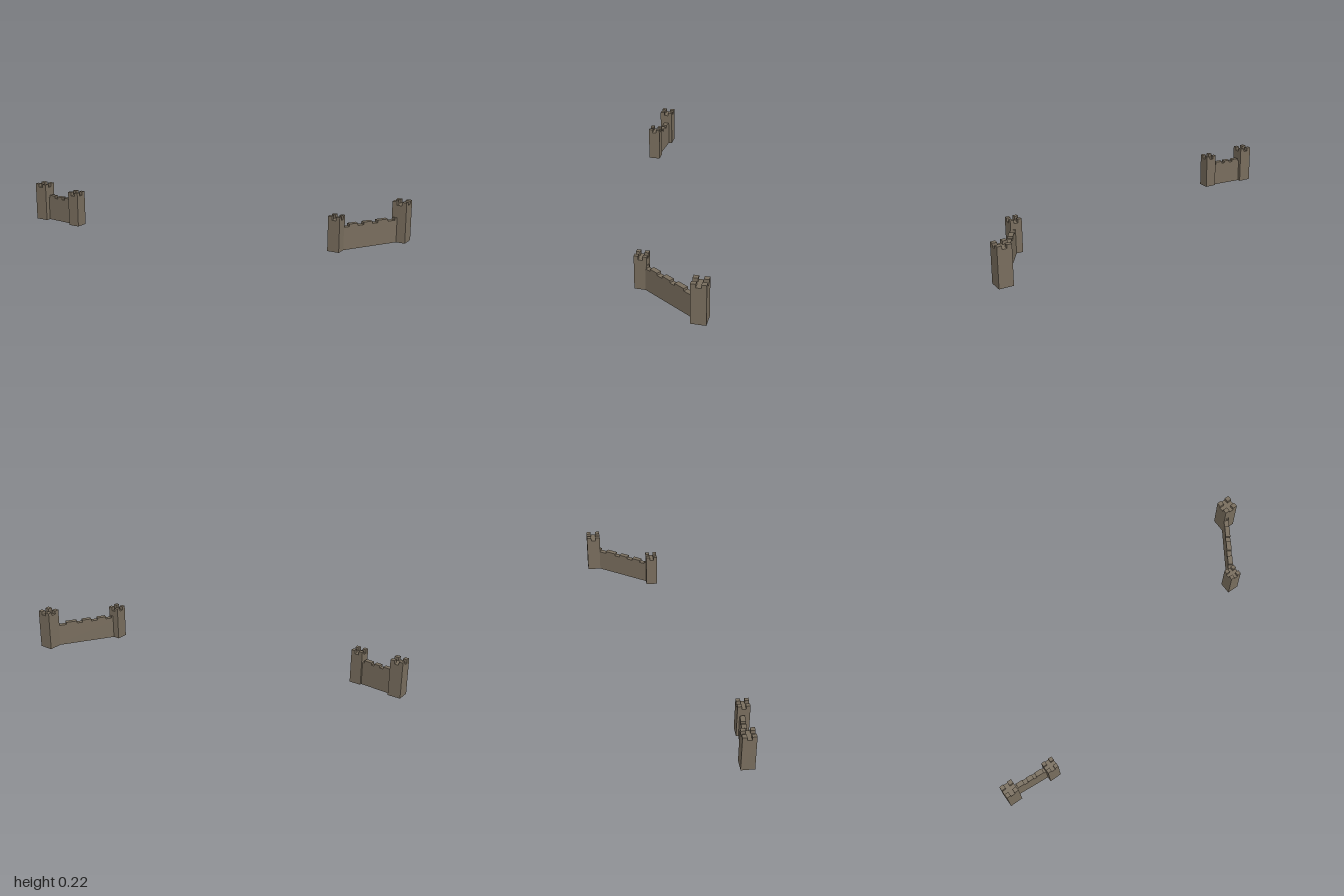
import * as THREE from 'three';

const stone = new THREE.MeshStandardMaterial({ color: 0x786d5d });
stone.name = 'weathered stone';

function block(parent, name, w, h, d, x, y, z) {
  const mesh = new THREE.Mesh(new THREE.BoxGeometry(w, h, d), stone);
  mesh.name = name;
  mesh.position.set(x, y + h / 2, z); // y is the underside
  parent.add(mesh);
}

// Square tower: shaft, parapet course and a merlon on each corner
function tower(name, x, z, width, shaft, ledge, top) {
  const g = new THREE.Group();
  g.name = name;
  g.position.set(x, 0, z);
  block(g, 'towerShaft', width, shaft, width, 0, 0, 0);
  block(g, 'towerParapet', width, ledge - shaft, width, 0, shaft, 0);
  const m = width * 0.33;
  const o = (width - m) / 2;
  for (const sx of [-1, 1]) {
    for (const sz of [-1, 1]) {
      block(g, 'towerMerlon', m, top - ledge, m, sx * o, ledge, sz * o);
    }
  }
  return g;
}

// Curtain wall between two points; merlons are [start, end] fractions of its length
function wall(name, [x0, z0], [x1, z1], thick, body, ledge, top, merlons) {
  const g = new THREE.Group();
  g.name = name;
  const length = Math.hypot(x1 - x0, z1 - z0);
  g.position.set(x0, 0, z0);
  g.rotation.y = -Math.atan2(z1 - z0, x1 - x0);
  block(g, 'wallBody', length, body, thick, length / 2, 0, 0);
  block(g, 'wallWalk', length, ledge - body, thick, length / 2, body, 0);
  for (const [a, b] of merlons) {
    block(g, 'wallMerlon', (b - a) * length, top - ledge, thick, (a + b) / 2 * length, ledge, 0);
  }
  return g;
}

export function createModel() {
  const model = new THREE.Group();
  model.name = 'castleWalls';

  // Short stretch on the right-hand side
  model.add(
    tower('shortWallTallTower', -0.964, 0.31, 0.072, 0.179, 0.188, 0.207),
    tower('shortWallLowTower', -0.72, 0.327, 0.065, 0.163, 0.172, 0.191),
    wall('shortWall', [-0.964, 0.303], [-0.72, 0.322], 0.026, 0.121, 0.129, 0.142,
      [[0.18, 0.34], [0.43, 0.57], [0.64, 0.82]])
  );

  // Long diagonal stretch on the left-hand side
  model.add(
    tower('longWallLowTower', 0.737, 0.02, 0.065, 0.158, 0.168, 0.188),
    tower('longWallTallTower', 0.96, -0.32, 0.079, 0.195, 0.203, 0.222),
    wall('longWall', [0.737, 0.02], [0.96, -0.32], 0.027, 0.115, 0.123, 0.136,
      [[0.01, 0.1], [0.179, 0.306], [0.397, 0.527], [0.606, 0.764], [0.871, 0.99]])
  );
  return model;
}
